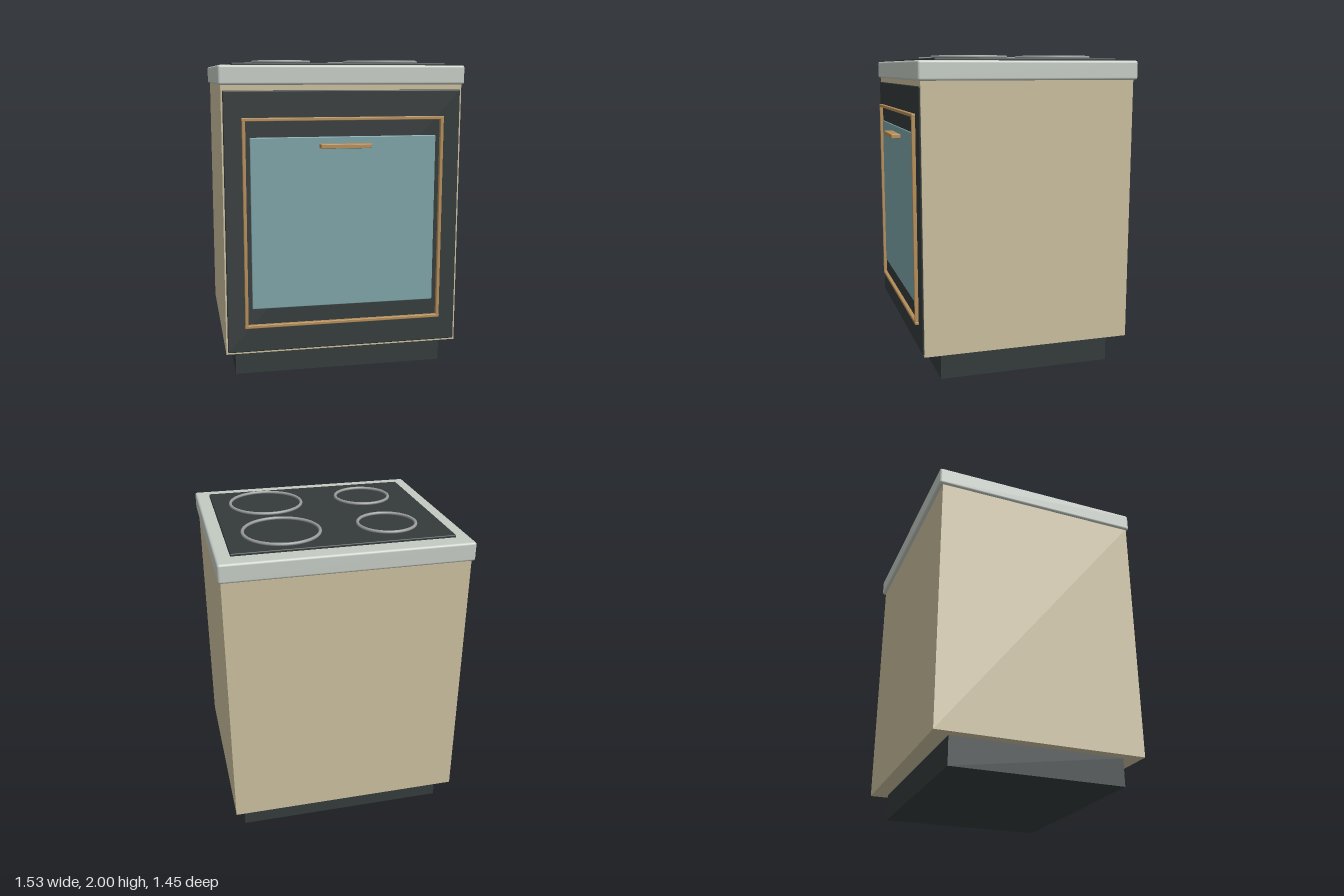
import * as THREE from 'three';
import { RoundedBoxGeometry } from 'three/addons/geometries/RoundedBoxGeometry.js';

const material = (name, color) => {
  const m = new THREE.MeshStandardMaterial({ color });
  m.name = name;
  return m;
};

export function createModel() {
  const group = new THREE.Group();
  group.name = 'stove';

  const beige = material('beige enamel', 0xc9bd9d);
  const pale = material('pale grey worktop', 0xc3cac2);
  const dark = material('charcoal', 0x343a3a);
  const glass = material('blue green glass', 0x7ca3a7);
  const bronze = material('bronze', 0xb48d58);
  const steel = material('steel grey', 0x9a9c9c);

  // Block between two corners, with an optional edge radius
  const block = (name, mat, [x0, x1], [y0, y1], [z0, z1], r = 0) => {
    const size = [x1 - x0, y1 - y0, z1 - z0];
    const geo = r ? new RoundedBoxGeometry(...size, 3, r) : new THREE.BoxGeometry(...size);
    const mesh = new THREE.Mesh(geo, mat);
    mesh.position.set((x0 + x1) / 2, (y0 + y1) / 2, (z0 + z1) / 2);
    mesh.name = name;
    group.add(mesh);
  };

  // Body
  block('plinth', dark, [-0.685, 0.685], [0, 0.179], [-0.59, 0.535]);
  block('cabinet', beige, [-0.75, 0.75], [0.179, 1.86], [-0.7, 0.65]);
  block('worktop', pale, [-0.765, 0.765], [1.85, 1.967], [-0.725, 0.667], 0.015);
  block('hob', dark, [-0.677, 0.677], [1.955, 1.982], [-0.613, 0.55], 0.006);

  // Oven door with window
  block('ovenDoor', dark, [-0.74, 0.74], [0.19, 1.818], [0.635, 0.66], 0.007);
  block('ovenWindow', glass, [-0.583, 0.583], [0.47, 1.537], [0.65, 0.668], 0.005);

  // Trim around the window
  for (const s of [-1, 1]) {
    const x = s * 0.62, y = 1.0025 + s * 0.643;
    block('sideTrim', bronze, [x - 0.01, x + 0.01], [0.352, 1.653], [0.655, 0.683], 0.004);
    block('crossTrim', bronze, [-0.632, 0.632], [y - 0.01, y + 0.01], [0.655, 0.683], 0.004);
  }
  block('doorHandle', bronze, [-0.158, 0.158], [1.468, 1.495], [0.66, 0.727], 0.004);

  // Burner rings: small on the right, large on the left
  for (const [x, radius] of [[-0.333, 0.18], [0.33, 0.235]]) {
    for (const z of [-0.32, 0.247]) {
      const ring = new THREE.Mesh(new THREE.TorusGeometry(radius, 0.01, 10, 64), steel);
      ring.rotation.x = -Math.PI / 2;
      ring.position.set(x, 1.99, z);
      ring.name = 'burnerRing';
      group.add(ring);
    }
  }
  return group;
}
